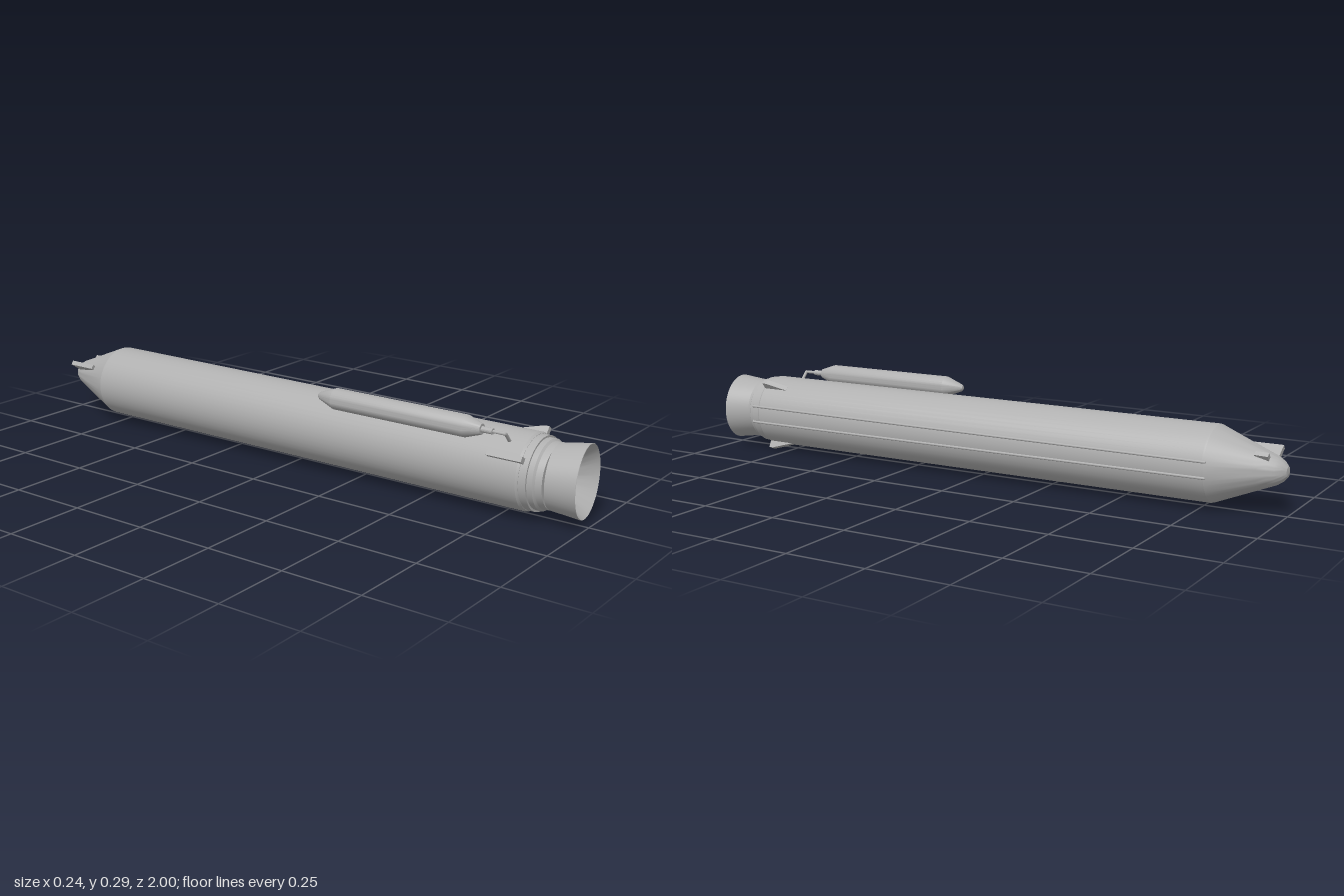
import * as THREE from 'three';
import { toCreasedNormals } from 'three/addons/utils/BufferGeometryUtils.js';

export function createModel() {
  const grey = new THREE.MeshStandardMaterial({ color: 0xb0b0b0 });
  grey.name = 'grey';
  const model = new THREE.Group();
  model.name = 'booster';

  // everything is placed relative to the long axis of the hull
  const hull = new THREE.Group();
  hull.name = 'hull';
  hull.position.set(-0.002, 0.13, 0);
  model.add(hull);

  function add(name, geometry, parent = hull) {
    const mesh = new THREE.Mesh(geometry, grey);
    mesh.name = name;
    parent.add(mesh);
    return mesh;
  }

  // turned part along z, profile given as [radius, z] from back to front
  function turned(profile, sides = 48) {
    const points = profile.map(([r, z]) => new THREE.Vector2(r, z));
    const g = new THREE.LatheGeometry(points, sides);
    g.rotateX(Math.PI / 2);
    return toCreasedNormals(g, 0.4);
  }

  // fin with a side outline of [z, radius] points, standing at an angle round the hull
  function fin(name, outline, width, degrees) {
    const shape = new THREE.Shape(outline.map(([z, r]) => new THREE.Vector2(z, r)));
    const g = new THREE.ExtrudeGeometry(shape, { depth: width, bevelEnabled: false });
    g.translate(0, 0, -width / 2);
    g.rotateY(-Math.PI / 2);
    add(name, g).rotation.z = THREE.MathUtils.degToRad(degrees - 90);
  }

  function pipe(name, points, radius) {
    const path = new THREE.CurvePath();
    const v = points.map((p) => new THREE.Vector3(...p));
    for (let i = 1; i < v.length; i++) path.add(new THREE.LineCurve3(v[i - 1], v[i]));
    add(name, new THREE.TubeGeometry(path, 60, radius, 8, false));
    // closed ends
    for (const p of [v[0], v[v.length - 1]]) {
      add(name + 'End', new THREE.SphereGeometry(radius, 8, 6)).position.copy(p);
    }
  }

  // rounded nose cone
  add('noseCone', turned([
    [0, -1], [0.016, -0.996], [0.03, -0.984], [0.041, -0.967],
    [0.05, -0.945], [0.06, -0.92], [0.115, -0.785],
  ]));

  // main cylinder and stepped rear rings
  add('body', turned([[0.115, -0.785], [0.116, -0.78], [0.116, 0.825], [0.112, 0.832], [0, 0.832]]));
  add('rearRing', turned([[0.111, 0.82], [0.111, 0.855], [0, 0.855]]));
  add('rearCollar', turned([[0.105, 0.85], [0.105, 0.872], [0.099, 0.878], [0.097, 0.898], [0, 0.898]]));

  // slightly tilted engine bell with a recessed end disc
  const bell = add('engineBell', turned([
    [0.097, 0], [0.109, 0.092], [0.108, 0.093], [0.0535, 0.025], [0, 0.025],
  ]));
  bell.position.z = 0.892;
  bell.rotation.y = 0.13;

  // fins round the rear
  const wedge = [[0.73, 0.105], [0.825, 0.105], [0.825, 0.139], [0.81, 0.139], [0.735, 0.116]];
  fin('rearFinUpper', wedge, 0.017, 52);
  fin('rearFinLower', wedge, 0.017, -65);
  fin('rearFinSide', [[0.73, 0.1], [0.84, 0.1], [0.84, 0.131], [0.73, 0.131]], 0.017, 148);

  // lugs on the nose
  fin('noseLugSide', [[-0.955, 0.03], [-0.855, 0.06], [-0.855, 0.097], [-0.955, 0.097]], 0.015, 147);
  fin('noseLugUpper', [[-0.95, 0.03], [-0.91, 0.03], [-0.91, 0.068], [-0.95, 0.066]], 0.015, 52);

  // side tank with its outlet neck
  const tank = new THREE.Group();
  tank.name = 'sideTank';
  tank.position.set(-0.087, 0.124, 0);
  hull.add(tank);
  add('tankShell', turned([
    [0, 0.13], [0.007, 0.132], [0.012, 0.138], [0.033, 0.195],
    [0.033, 0.65], [0.016, 0.7], [0, 0.7],
  ], 32), tank);
  add('tankNeck', turned([[0.009, 0.695], [0.009, 0.735], [0, 0.735]], 16), tank);
  pipe('tankPipe', [[-0.087, 0.124, 0.72], [-0.087, 0.124, 0.775], [-0.06, 0.095, 0.775]], 0.005);

  // two long conduits along the hull, turned inward at the rear
  for (const [yBack, yFront] of [[0.027, 0.027], [-0.02, -0.027]]) {
    const x = (y) => Math.sqrt(0.116 ** 2 - y * y) + 0.003;
    pipe('conduit', [
      [x(yBack), yBack, -0.79], [x(yFront), yFront, 0.858], [0.095, yFront, 0.864],
    ], 0.004);
  }

  return model;
}
